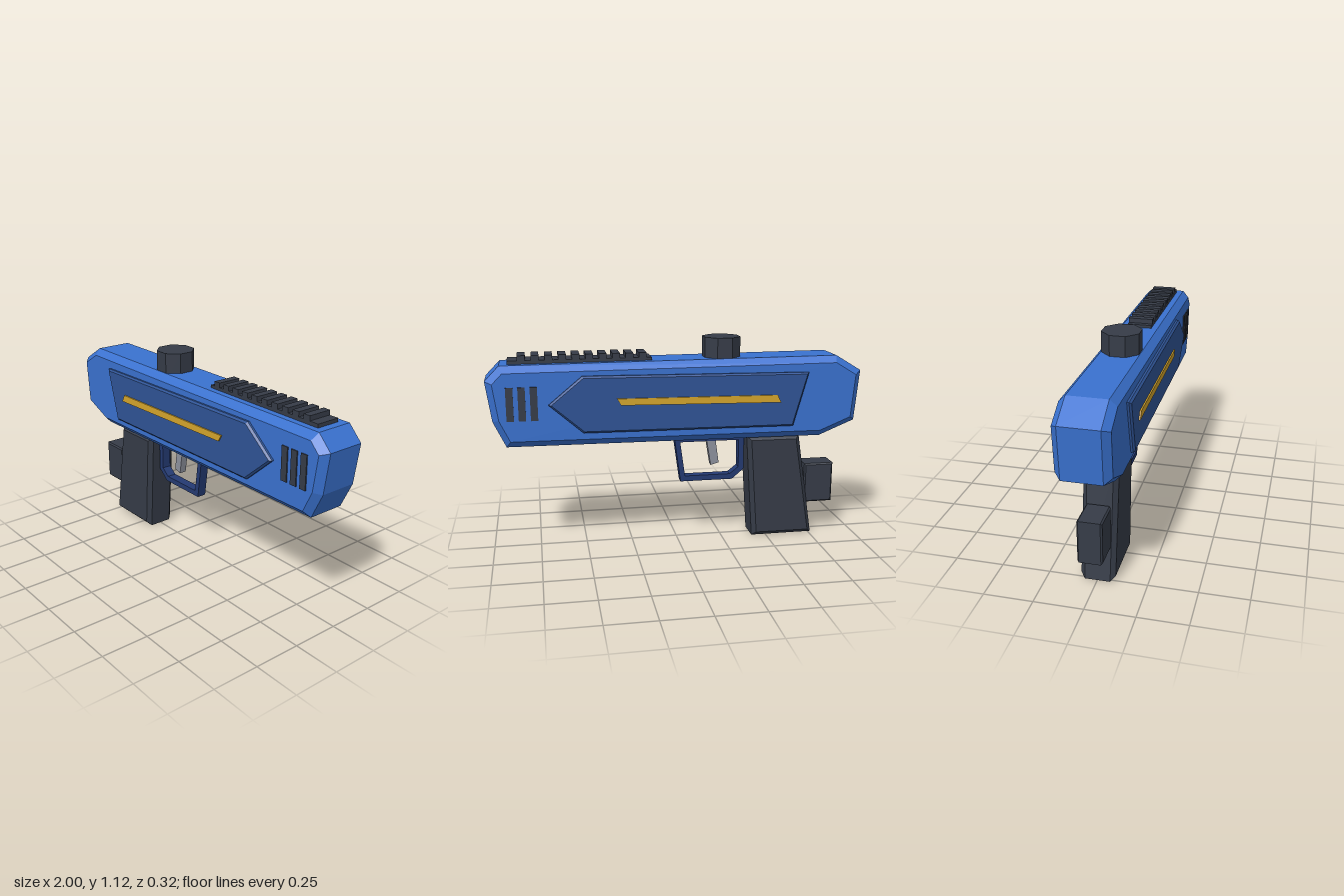
import * as THREE from 'three';

const mat = (name, color) => {
  const m = new THREE.MeshStandardMaterial({ color });
  m.name = name;
  return m;
};

export function createModel() {
  const blue = mat('bodyBlue', 0x3a72d0);
  const panelBlue = mat('panelBlue', 0x2f5496);
  const navy = mat('guardNavy', 0x243a72);
  const dark = mat('darkGrey', 0x363c48);
  const gold = mat('gold', 0xd6a62c);
  const grey = mat('triggerGrey', 0x8e929e);

  const group = new THREE.Group();
  const add = (name, geometry, material, x = 0, y = 0, z = 0) => {
    const mesh = new THREE.Mesh(geometry, material);
    mesh.name = name;
    mesh.position.set(x, y, z);
    group.add(mesh);
    return mesh;
  };
  const toPoints = (list) => list.map(([x, y]) => new THREE.Vector2(x, y));

  // Side profile extruded symmetrically about z = 0, chamfered inside its outline
  const slab = (outline, half, bevel = 0, hole = null) => {
    const shape = new THREE.Shape(toPoints(outline));
    if (hole) shape.holes.push(new THREE.Path(toPoints(hole)));
    const depth = 2 * (half - bevel);
    const geometry = new THREE.ExtrudeGeometry(shape, {
      depth,
      bevelEnabled: bevel > 0,
      bevelThickness: bevel,
      bevelSize: bevel,
      bevelOffset: -bevel,
      bevelSegments: 1,
    });
    return geometry.translate(0, 0, -depth / 2);
  };

  // Chamfered main body
  add('body', slab([
    [-0.975, 0.655], [-0.78, 0.575], [0.905, 0.583], [0.97, 0.72],
    [1, 0.93], [0.925, 1.007], [-0.86, 1.015], [-1, 0.93],
  ], 0.134, 0.035), blue);

  // Arrow-shaped panel standing proud on both sides
  add('sidePanels', slab([
    [-0.615, 0.645], [0.51, 0.652], [0.685, 0.805], [0.51, 0.95], [-0.695, 0.935],
  ], 0.155, 0.01), panelBlue);

  // Stripes and vents on each side
  const stripe = slab([[-0.54, 0.78], [0.315, 0.795], [0.335, 0.83], [-0.52, 0.82]], 0.0045);
  const vent = new THREE.BoxGeometry(0.037, 0.175, 0.009);
  for (const side of [1, -1]) {
    add('stripe', stripe, gold, 0, 0, side * 0.158);
    for (let i = 0; i < 3; i++) add('vent', vent, dark, 0.757 + i * 0.061, 0.813, side * 0.1355);
  }

  // Toothed top rail
  add('railBase', new THREE.BoxGeometry(0.745, 0.035, 0.13), dark, 0.5125, 1.0085, 0);
  const tooth = new THREE.BoxGeometry(0.04, 0.03, 0.13);
  for (let i = 0; i < 10; i++) add('railTooth', tooth, dark, 0.188 + i * 0.0695, 1.036, 0);

  // Octagonal knob with flat sides facing the axes
  const knob = new THREE.CylinderGeometry(0.104, 0.104, 0.14, 8).toNonIndexed();
  knob.computeVertexNormals();
  knob.rotateY(Math.PI / 8);
  add('topKnob', knob, dark, -0.244, 1.05, 0);

  // Slanted grip and the block behind it
  add('grip', slab([[-0.765, 0], [-0.42, 0], [-0.38, 0.578], [-0.675, 0.578]], 0.0875, 0.023), dark);
  add('gripBlock', slab([[-0.885, 0.175], [-0.72, 0.175], [-0.72, 0.4], [-0.885, 0.4]], 0.062, 0.008), dark);

  // Trigger guard frame and trigger
  add('triggerGuard', slab(
    [[-0.375, 0.38], [-0.31, 0.325], [-0.02, 0.325], [0.015, 0.578], [-0.375, 0.578]],
    0.026, 0,
    [[-0.345, 0.393], [-0.345, 0.548], [-0.018, 0.548], [-0.045, 0.355], [-0.297, 0.355]],
  ), navy);
  add('trigger', slab([[-0.235, 0.422], [-0.19, 0.41], [-0.165, 0.56], [-0.215, 0.56]], 0.02), grey);

  return group;
}
